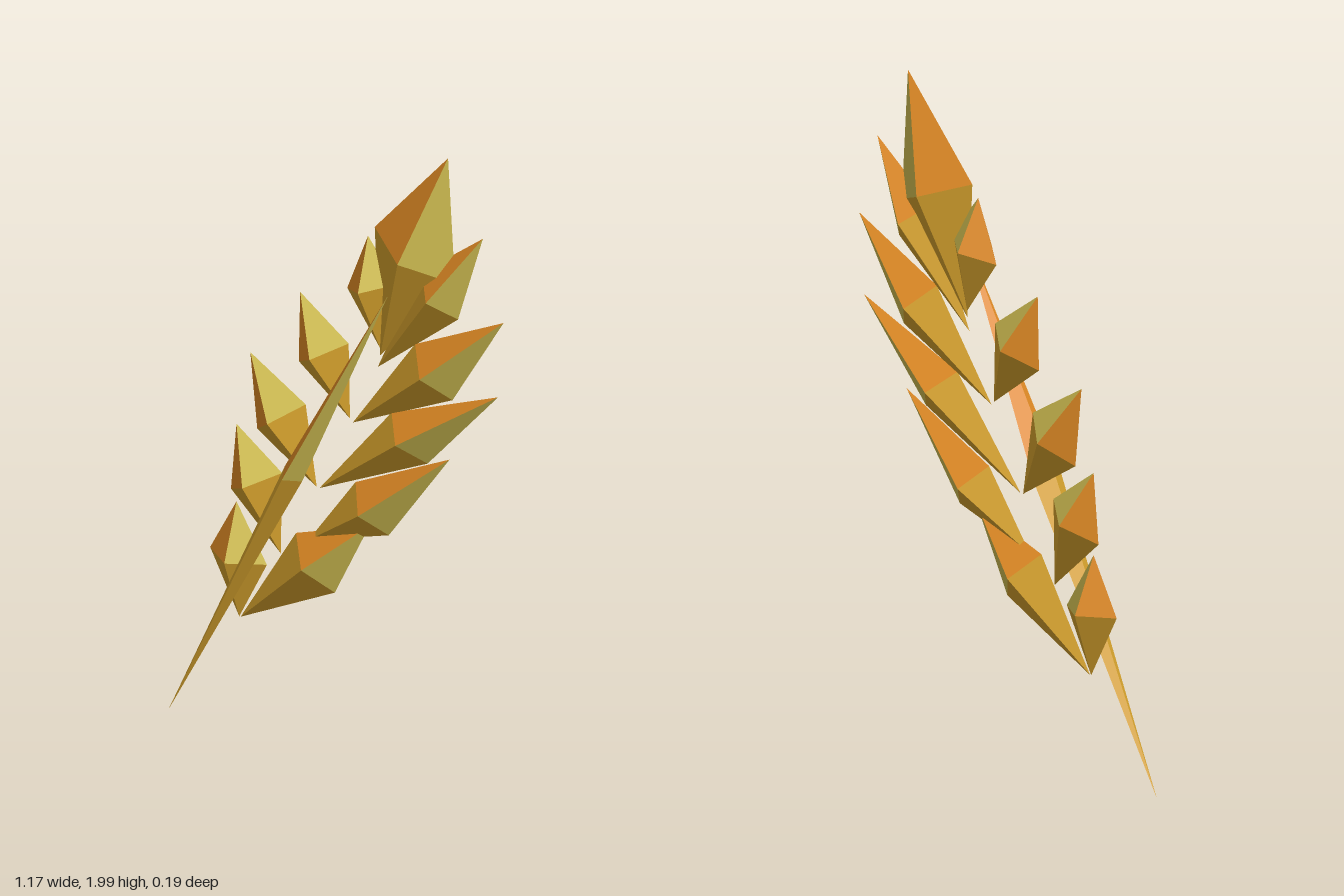
import * as THREE from 'three';

const flat = (name, color) => {
  const m = new THREE.MeshStandardMaterial({ color, flatShading: true });
  m.name = name;
  return m;
};

// Four-sided spindle: base point, tip point, left and right ring corners (x, y);
// the front and back corners sit halfway between left and right.
function spindle(name, materials, base, tip, left, right, z, depth) {
  const mx = (left[0] + right[0]) / 2, my = (left[1] + right[1]) / 2;
  const at = (p, dz = 0) => [p[0], p[1], z + dz];
  const ring = [at(left), at([mx, my], depth), at(right), at([mx, my], -depth)];
  const pos = [];
  const geo = new THREE.BufferGeometry();
  for (let i = 0; i < 4; i++) {
    const a = ring[i], b = ring[(i + 1) % 4];
    pos.push(...a, ...b, ...at(tip), ...b, ...a, ...at(base));
    // upper left faces, upper right faces, lower faces
    geo.addGroup(i * 6, 3, i === 0 || i === 3 ? 0 : 1);
    geo.addGroup(i * 6 + 3, 3, 2);
  }
  geo.setAttribute('position', new THREE.Float32BufferAttribute(pos, 3));
  geo.computeVertexNormals();
  const mesh = new THREE.Mesh(geo, materials);
  mesh.name = name;
  return mesh;
}

export function createModel() {
  const group = new THREE.Group();
  group.name = 'wheatEar';
  const materials = [flat('orange', 0xe58e26), flat('paleStraw', 0xd6c354), flat('gold', 0xdaa52e)];
  const add = (...args) => group.add(spindle(args[0], materials, ...args.slice(1)));

  // Stem, slightly in front of the grains
  add('stem', [-0.585, 0.01], [0.21, 1.54], [-0.164, 0.896], [-0.102, 0.864], 0.038, 0.056);

  // Grain at the top
  add('topGrain', [0.14, 1.31], [0.385, 2.0], [0.12, 1.71], [0.41, 1.61], -0.015, 0.083);

  // Short grains on the -x side: base, tip, left, right
  const shortGrains = [
    [[-0.37, 0.345], [-0.38, 0.705], [-0.475, 0.535], [-0.27, 0.535]],
    [[-0.22, 0.585], [-0.38, 0.95], [-0.4, 0.74], [-0.215, 0.84]],
    [[-0.09, 0.83], [-0.33, 1.19], [-0.305, 0.955], [-0.13, 1.08]],
    [[0.03, 1.08], [-0.15, 1.43], [-0.155, 1.21], [0.025, 1.315]],
    [[0.14, 1.33], [0.095, 1.675], [0.02, 1.49], [0.2, 1.55]],
  ];
  // Long grains on the +x side
  const longGrains = [
    [[-0.365, 0.345], [0.1, 0.76], [-0.165, 0.665], [-0.025, 0.515]],
    [[-0.12, 0.655], [0.39, 1.05], [0.05, 0.885], [0.17, 0.75]],
    [[-0.08, 0.83], [0.565, 1.295], [0.18, 1.14], [0.31, 1.015]],
    [[0.04, 1.07], [0.585, 1.535], [0.265, 1.38], [0.4, 1.24]],
    [[0.13, 1.27], [0.51, 1.78], [0.29, 1.615], [0.42, 1.5]],
  ];
  shortGrains.forEach((g, i) => add(`shortGrain${i + 1}`, ...g, -0.016, 0.068));
  longGrains.forEach((g, i) => add(`longGrain${i + 1}`, ...g, -0.016, 0.068));
  return group;
}
